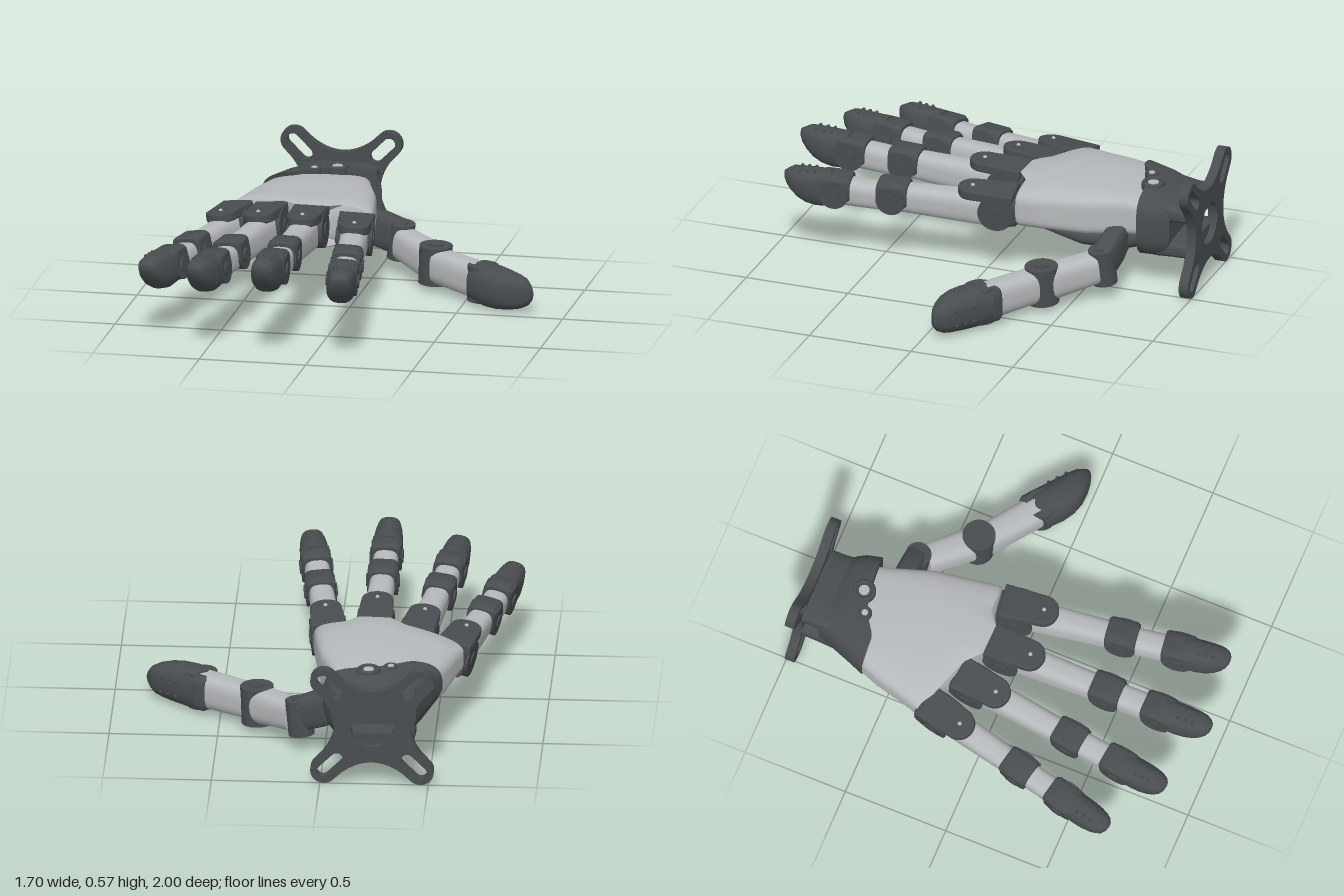
import * as THREE from 'three';
import { toCreasedNormals } from 'three/addons/utils/BufferGeometryUtils.js';

const light = new THREE.MeshStandardMaterial({ color: 0xb6b9bb });
const dark = new THREE.MeshStandardMaterial({ color: 0x494d50 });

function add(parent, name, geometry, material, x = 0, y = 0, z = 0) {
  const mesh = new THREE.Mesh(geometry, material);
  mesh.name = name;
  mesh.position.set(x, y, z);
  parent.add(mesh);
  return mesh;
}

// Skin rounded-box sections [z, x, y, halfWidth, halfHeight] along z, then bend points by a rule
function loft(sections, { n = 28, e = 4, bend = null } = {}) {
  const pos = [], index = [], last = sections.length - 1;
  const put = (x, y, z) => {
    const p = new THREE.Vector3(x, y, z);
    if (bend) bend(p);
    pos.push(p.x, p.y, p.z);
  };
  for (const [z, x, y, w, h] of sections) {
    for (let j = 0; j < n; j++) {
      const a = (j / n) * Math.PI * 2, c = Math.cos(a), s = Math.sin(a);
      const r = 1 / Math.pow(Math.abs(c) ** e + Math.abs(s) ** e, 1 / e);
      put(x + w * r * c, y + h * r * s, z);
    }
  }
  for (const i of [0, last]) put(sections[i][1], sections[i][2], sections[i][0]);
  const c0 = n * (last + 1), c1 = c0 + 1;
  for (let j = 0; j < n; j++) {
    const k = (j + 1) % n;
    for (let i = 0; i < last; i++) {
      const a = i * n + j, b = i * n + k;
      index.push(a, b, b + n, a, b + n, a + n);
    }
    index.push(c0, k, j, c1, last * n + j, last * n + k);
  }
  const g = new THREE.BufferGeometry();
  g.setAttribute('position', new THREE.Float32BufferAttribute(pos, 3));
  g.setIndex(index);
  return toCreasedNormals(g, 0.6);
}

const disc = (r, len) => new THREE.CylinderGeometry(r, r, len, 28);
const hinge = (r, len) => disc(r, len).rotateZ(Math.PI / 2);

// Piecewise linear lookup in [x, value] pairs
function lerpTable(table, x) {
  for (let i = 1; i < table.length; i++) {
    if (x <= table[i][0]) {
      const [x0, v0] = table[i - 1], [x1, v1] = table[i];
      return v0 + (v1 - v0) * Math.max(0, (x - x0) / (x1 - x0));
    }
  }
  return table[table.length - 1][1];
}

// Curve the hand's cross-section: the top drops and the underside rises away from the middle
function arch(p, top, under) {
  const t = THREE.MathUtils.clamp((0.31 - p.y) / 0.1, -1, 1);
  p.y += t * (t < 0 ? top : under) * (p.x + 0.2) ** 2;
}

// Group at point a with local z toward b and local y near up
function aimed(parent, name, a, b, up) {
  const Z = new THREE.Vector3(...b).sub(new THREE.Vector3(...a)).normalize();
  const X = new THREE.Vector3(...up).cross(Z).normalize();
  const Y = Z.clone().cross(X);
  const g = new THREE.Group();
  g.name = name;
  g.quaternion.setFromRotationMatrix(new THREE.Matrix4().makeBasis(X, Y, Z));
  g.position.set(...a);
  parent.add(g);
  return g;
}

// Hinge barrel with raised side pins
function barrel(g, z, w, r) {
  add(g, 'jointBarrel', hinge(r, w * 2), dark, 0, -0.005, z);
  add(g, 'jointPins', hinge(r * 0.45, w * 2 + 0.016), dark, 0, -0.005, z);
}

// Barrel under a boxy cover
function joint(g, z, w, r) {
  barrel(g, z, w, r);
  add(g, 'jointCover', loft([
    [z - 0.075, 0, 0.015, w * 0.9, r * 0.78], [z - 0.06, 0, 0.015, w, r * 0.9],
    [z + 0.055, 0, 0.015, w, r * 0.9], [z + 0.07, 0, 0.015, w * 0.9, r * 0.78]], { e: 5 }), dark);
}

// Padded fingertip: straight back, underside curving up to the end
function fingertip(g, z, end, w, h) {
  const L = end - z;
  const rows = [[0, 1, -1], [0.3, 1.03, -1.05], [0.5, 1, -0.95], [0.68, 0.92, -0.7],
    [0.82, 0.8, -0.35], [0.92, 0.62, 0], [0.98, 0.36, 0.3], [1, 0.12, 0.5]];
  add(g, 'fingertip', loft(rows.map(([t, ws, bot]) => {
    const top = h * (t > 0.8 ? 1 - 1.5 * (t - 0.8) : 1), low = h * bot;
    return [z + L * t, 0, (top + low) / 2, w * ws, Math.max(0.008, (top - low) / 2)];
  }), { e: 2.7 }), dark);
  // small grip studs on the back
  for (const t of [0.35, 0.5, 0.65]) {
    for (const side of [-1, 1]) {
      add(g, 'gripStud', new THREE.SphereGeometry(0.009, 8, 6), dark, side * w * 0.4, h * 0.97, z + L * t);
    }
  }
}

function phalanx(g, name, z0, z1, w0, w1, h0, h1) {
  add(g, name, loft([[z0, 0, -0.012, w0, h0], [z1, 0, -0.005, w1, h1]], { e: 3.2 }), light);
}

// Knuckle hood: rounded tongue lying over the finger root
function hood() {
  const s = new THREE.Shape();
  s.moveTo(-0.075, -0.07);
  s.lineTo(0.075, -0.07);
  s.lineTo(0.065, 0.12);
  s.absarc(0, 0.12, 0.065, 0, Math.PI, false);
  s.closePath();
  return new THREE.ExtrudeGeometry(s, { depth: 0.03, bevelSize: 0.008, bevelThickness: 0.008, bevelSegments: 2, curveSegments: 16 })
    .rotateX(Math.PI / 2);
}

function finger(parent, name, a, b, roll, j1, j2) {
  const g = aimed(parent, name, a, b, [-Math.sin(roll), Math.cos(roll), 0]);
  const end = new THREE.Vector3(...a).distanceTo(new THREE.Vector3(...b));
  add(g, 'knuckleBarrel', hinge(0.085, 0.165), dark);
  add(g, 'knucklePins', hinge(0.035, 0.178), dark);
  add(g, 'knuckleBlock', loft([[-0.09, 0, 0, 0.068, 0.07], [0.0, 0, 0, 0.078, 0.085], [0.05, 0, 0.005, 0.074, 0.07]], { e: 5 }), dark);
  add(g, 'knuckleHood', hood(), dark, 0, 0.088, 0);
  add(g, 'hoodScrew', new THREE.SphereGeometry(0.01, 10, 8), light, 0, 0.096, 0.125);
  phalanx(g, 'lowerPhalanx', 0.02, j1, 0.066, 0.056, 0.08, 0.064);
  joint(g, j1, 0.069, 0.068);
  phalanx(g, 'middlePhalanx', j1, j2, 0.058, 0.058, 0.062, 0.064);
  joint(g, j2, 0.069, 0.07);
  fingertip(g, j2 + 0.02, end, 0.066, 0.086);
}

export function createModel() {
  const hand = new THREE.Group();
  hand.name = 'roboticHand';

  // Mounting plate: four slotted arms flaring from an open centre
  const plate = new THREE.Shape();
  for (let k = 0; k < 4; k++) {
    const a = Math.PI / 4 + (k * Math.PI) / 2, c = Math.cos(a), s = Math.sin(a);
    const at = (d, p) => [c * d - s * p, s * d + c * p];
    if (k === 0) plate.moveTo(...at(0.26, -0.064));
    plate.lineTo(...at(0.315, -0.062));
    plate.absarc(c * 0.315, s * 0.315, 0.062, a - Math.PI / 2, a + Math.PI / 2, false);
    plate.lineTo(...at(0.26, 0.064));
    const m = a + Math.PI / 4, n = a + Math.PI / 2;
    plate.quadraticCurveTo(Math.cos(m) * 0.125, Math.sin(m) * 0.125,
      Math.cos(n) * 0.26 + Math.sin(n) * 0.064, Math.sin(n) * 0.26 - Math.cos(n) * 0.064);
    const slot = new THREE.Path();
    slot.absarc(c * 0.32, s * 0.32, 0.028, a - Math.PI / 2, a + Math.PI / 2, false);
    slot.absarc(c * 0.23, s * 0.23, 0.028, a + Math.PI / 2, a + Math.PI * 1.5, false);
    slot.closePath();
    plate.holes.push(slot);
  }
  const bore = new THREE.Path();
  bore.absarc(0, 0, 0.1, 0, Math.PI * 2, true);
  plate.holes.push(bore);
  add(hand, 'mountingPlate', new THREE.ExtrudeGeometry(plate, { depth: 0.045, bevelEnabled: false, curveSegments: 16 }),
    dark, -0.24, 0.287, -1);

  // Wrist: two bridges, then a sleeve with a slanted front edge
  for (const [name, y, y2] of [['wristBridgeTop', 0.375, 0.385], ['wristBridgeBottom', 0.2, 0.2]]) {
    add(hand, name, loft([[-0.97, -0.245, y, 0.185, 0.044], [-0.88, -0.245, y, 0.186, 0.046], [-0.8, -0.245, y2, 0.19, 0.05]]), dark);
  }
  const cut = [[-0.5, -0.61], [-0.4, -0.615], [-0.32, -0.67], [-0.22, -0.71], [0.02, -0.73]];
  add(hand, 'wristSleeve', loft([
    [0, -0.245, 0.287, 0.19, 0.128], [0.25, -0.247, 0.293, 0.212, 0.148],
    [0.5, -0.252, 0.296, 0.235, 0.158], [1, -0.272, 0.299, 0.272, 0.162]],
  { n: 64, e: 4.5, bend: p => { p.z = -0.87 + p.z * (lerpTable(cut, p.x) + 0.87); arch(p, 0.1, 0.9); } }), dark);
  for (const [x, z, r] of [[-0.21, -0.735, 0.055], [-0.31, -0.69, 0.033]]) {
    add(hand, 'wristBoss', disc(r, 0.05), dark, x, 0.435, z);
    add(hand, 'wristBossRing', new THREE.TorusGeometry(r * 0.8, r * 0.18, 10, 28).rotateX(Math.PI / 2), dark, x, 0.46, z);
    add(hand, 'wristScrew', disc(r * 0.45, 0.05), light, x, 0.44, z);
  }

  // Palm: arched shell whose front edge steps to meet each finger
  const front = [[-0.63, -0.285], [-0.35, -0.18], [-0.28, -0.115], [-0.13, -0.11], [-0.07, -0.16], [0.08, -0.16]];
  const span = (s, l, r, low, top) => [s, (l + r) / 2, (low + top) / 2, (r - l) / 2, (top - low) / 2];
  add(hand, 'palm', loft([
    span(0, -0.42, -0.07, 0.25, 0.41), span(0.25, -0.51, -0.03, 0.24, 0.446), span(0.5, -0.56, 0.025, 0.235, 0.452),
    span(0.8, -0.6, 0.058, 0.243, 0.455), span(0.975, -0.627, 0.075, 0.248, 0.455), span(1, -0.62, 0.068, 0.255, 0.448)],
  { n: 160, e: 6, bend: p => { p.z = -0.8 + p.z * (lerpTable(front, p.x) + 0.8); arch(p, 0.27, 0.05); } }), light);
  add(hand, 'palmPad', loft([
    [-0.72, -0.2, 0.23, 0.13, 0.06], [-0.62, -0.19, 0.215, 0.17, 0.065], [-0.45, -0.19, 0.22, 0.19, 0.06],
    [-0.3, -0.21, 0.245, 0.21, 0.035], [-0.18, -0.22, 0.265, 0.2, 0.022]], { n: 48, e: 2.4 }), dark);

  // Four fingers
  finger(hand, 'indexFinger', [0.012, 0.325, -0.06], [0.145, 0.345, 0.945], -0.06, 0.5, 0.77);
  finger(hand, 'middleFinger', [-0.203, 0.357, -0.03], [-0.212, 0.395, 1.0], 0, 0.51, 0.77);
  finger(hand, 'ringFinger', [-0.402, 0.34, -0.11], [-0.54, 0.35, 0.91], 0.1, 0.52, 0.78);
  finger(hand, 'littleFinger', [-0.58, 0.31, -0.205], [-0.805, 0.3, 0.735], 0.17, 0.46, 0.71);

  // Thumb: root bracket, then bent segments hinged about upright pins
  const root = aimed(hand, 'thumbRoot', [-0.08, 0.24, -0.62], [0.12, 0.175, -0.615], [0, 1, 0]);
  add(root, 'thumbBracket', loft([[0, 0, 0, 0.05, 0.07], [0.1, 0, 0, 0.054, 0.085], [0.2, 0, 0, 0.052, 0.08], [0.23, 0, 0, 0.045, 0.07]]), dark);
  const up = [0.6, 0, -0.8];
  const lower = aimed(hand, 'thumbLower', [0.118, 0.16, -0.612], [0.33, 0.122, -0.39], up);
  barrel(lower, 0, 0.085, 0.06);
  phalanx(lower, 'thumbLowerPhalanx', 0.04, 0.28, 0.074, 0.084, 0.064, 0.07);
  const upper = aimed(hand, 'thumbUpper', [0.325, 0.122, -0.392], [0.57, 0.108, -0.208], up);
  barrel(upper, 0, 0.09, 0.077);
  phalanx(upper, 'thumbUpperPhalanx', 0.04, 0.32, 0.08, 0.084, 0.066, 0.07);
  const tip = aimed(hand, 'thumbTip', [0.575, 0.105, -0.2], [0.81, 0.095, -0.012], up);
  joint(tip, 0.02, 0.084, 0.072);
  fingertip(tip, 0, 0.305, 0.093, 0.088);

  return hand;
}
